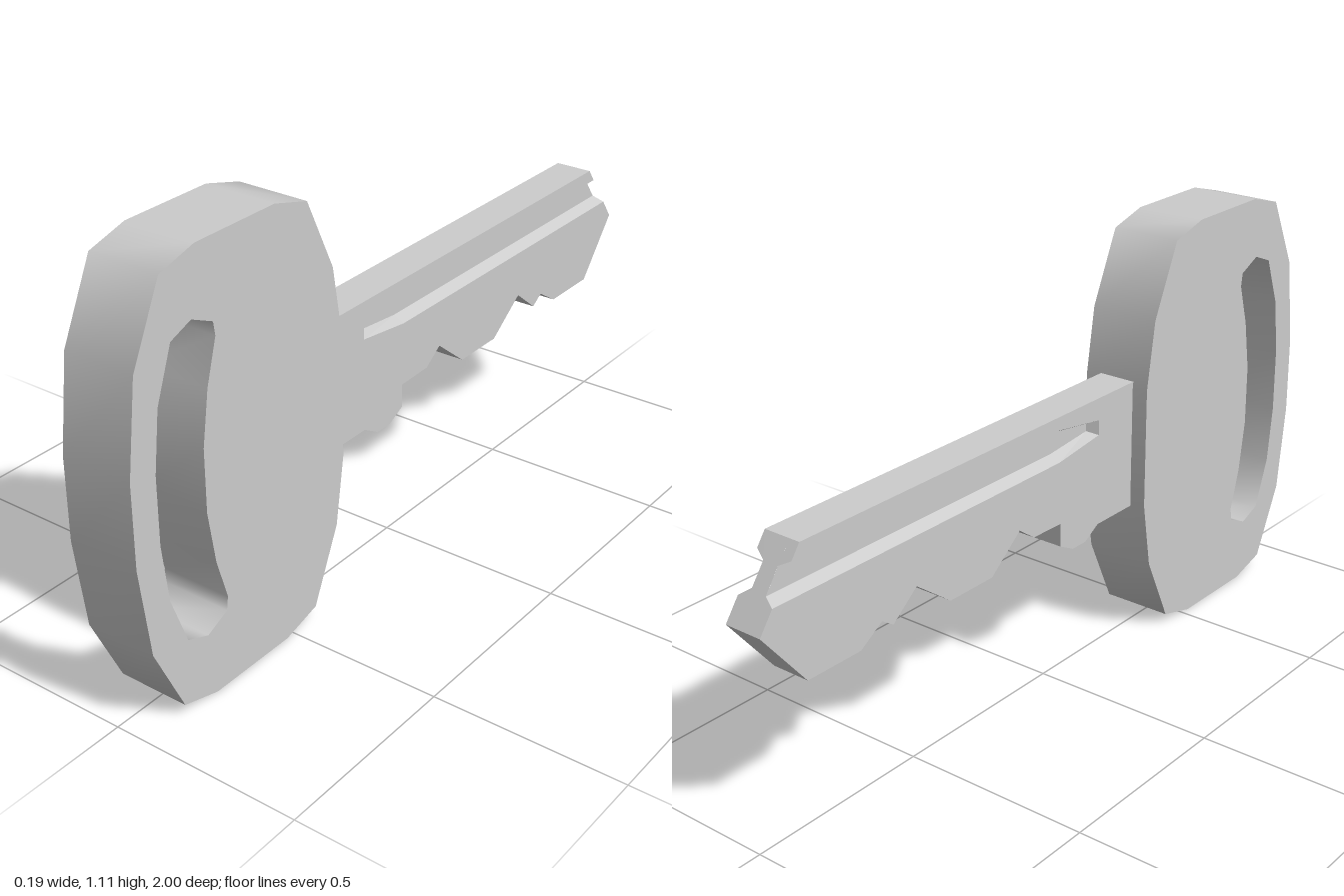
import * as THREE from 'three';
import { toCreasedNormals } from 'three/addons/utils/BufferGeometryUtils.js';

// Profiles are drawn in (u, y) with u = -z, then turned so their depth runs along x.
const toVectors = (pts) => pts.map(([u, y]) => new THREE.Vector2(u, y));
const HEAD_HALF = 0.095, BLADE_HALF = 0.051, CORE_HALF = 0.022;

// Completes an outline by mirroring its upper half about the height midY (clockwise).
function mirrored(half, midY) {
  const top = half.map(([u, d]) => [u, midY + d]);
  const bottom = half.map(([u, d]) => [u, midY - d]).reverse();
  return toVectors([...top, ...bottom]);
}

function headGeometry() {
  const outline = mirrored([
    [-1, 0.105], [-0.97, 0.338], [-0.882, 0.525], [-0.775, 0.555],
    [-0.525, 0.555], [-0.417, 0.525], [-0.331, 0.338], [-0.302, 0.16],
  ], 0.555);
  const slot = mirrored([
    [-0.926, 0.085], [-0.908, 0.235], [-0.86, 0.365], [-0.796, 0.39],
    [-0.731, 0.36], [-0.726, 0.325], [-0.758, 0.215], [-0.779, 0.08],
  ], 0.558);
  // The slot runs against the outline so that its walls face into the opening
  const shape = new THREE.Shape(outline);
  shape.holes.push(new THREE.Path(slot.reverse()));
  const geo = new THREE.ExtrudeGeometry(shape, { depth: HEAD_HALF * 2, bevelEnabled: false });
  geo.translate(0, 0, -HEAD_HALF);
  return toCreasedNormals(geo, Math.PI / 3).rotateY(Math.PI / 2);
}

function bladeGeometry() {
  // Toothed lower edge, ending at the tip
  const lower = [
    [-0.33, 0.384], [-0.16, 0.384], [-0.108, 0.354], [-0.056, 0.354], [-0.005, 0.38],
    [-0.005, 0.442], [0.1, 0.445], [0.155, 0.484], [0.26, 0.4], [0.41, 0.4],
    [0.524, 0.484], [0.604, 0.42], [0.64, 0.444], [0.71, 0.4], [0.874, 0.4], [1, 0.555],
  ];
  const upper = [[0.874, 0.729], [-0.33, 0.729]];
  // Groove: its edge on the blade face and the narrower edge of its floor
  const grooveRim = [[0.961, 0.609], [0, 0.609], [-0.16, 0.63], [-0.16, 0.67], [0, 0.694], [0.899, 0.694]];
  const grooveFloor = [[0.95, 0.624], [0, 0.624], [-0.145, 0.638], [-0.145, 0.661], [0, 0.679], [0.91, 0.679]];

  const core = [...lower, ...upper];
  const outer = [...lower, ...grooveRim, ...upper];
  const inner = [...lower, ...grooveFloor, ...upper];
  const pos = [];

  // Wall joining two matching loops at depths wa < wb
  const wall = (a, wa, b, wb) => a.forEach((p, i) => {
    const j = (i + 1) % a.length;
    pos.push(...p, wa, ...a[j], wa, ...b[j], wb);
    pos.push(...p, wa, ...b[j], wb, ...b[i], wb);
  });
  // Flat face at depth w, facing away from the middle
  const face = (loop, w) => {
    const geo = new THREE.ShapeGeometry(new THREE.Shape(toVectors(loop))).toNonIndexed();
    const p = geo.attributes.position;
    for (let i = 0; i < p.count; i += 3) {
      for (const k of w > 0 ? [0, 1, 2] : [0, 2, 1]) pos.push(p.getX(i + k), p.getY(i + k), w);
    }
  };

  wall(outer, -BLADE_HALF, inner, -CORE_HALF);
  wall(core, -CORE_HALF, core, CORE_HALF);
  wall(inner, CORE_HALF, outer, BLADE_HALF);
  for (const side of [-1, 1]) {
    face(outer, side * BLADE_HALF);
    face(grooveFloor, side * CORE_HALF);
  }

  const geo = new THREE.BufferGeometry();
  geo.setAttribute('position', new THREE.Float32BufferAttribute(pos, 3));
  geo.rotateY(Math.PI / 2);
  geo.computeVertexNormals();
  return geo;
}

export function createModel() {
  const group = new THREE.Group();
  group.name = 'key';
  const material = new THREE.MeshStandardMaterial({ color: 0xcccccc });

  const head = new THREE.Mesh(headGeometry(), material);
  head.name = 'head';
  const blade = new THREE.Mesh(bladeGeometry(), material);
  blade.name = 'blade';

  group.add(head, blade);
  return group;
}
